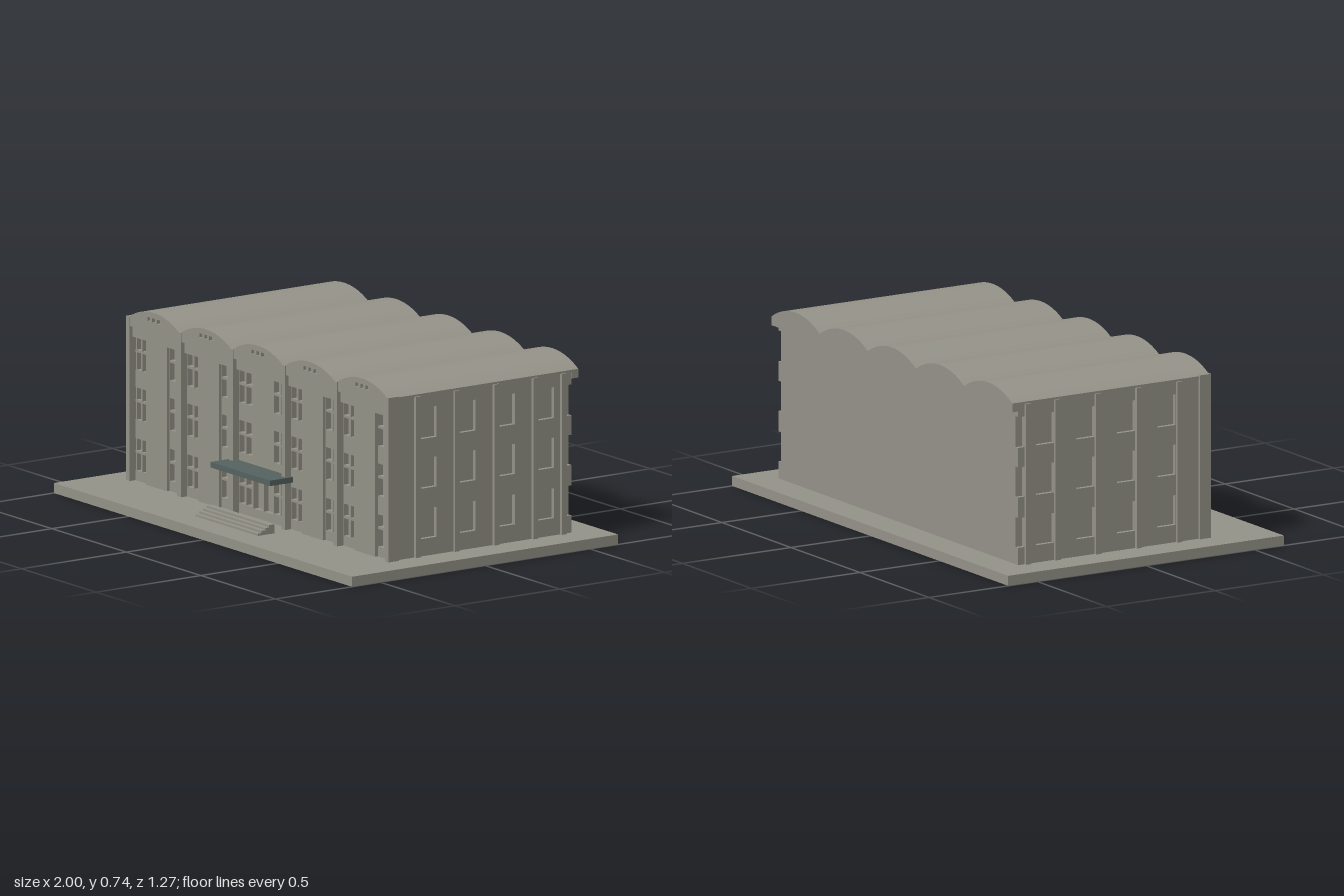
import * as THREE from 'three';
import { toCreasedNormals } from 'three/addons/utils/BufferGeometryUtils.js';

const BAY = 0.349, BAYS = 5, GROUND = 0.04, VALLEY = 0.69, RISE = 0.05;

export function createModel() {
  const model = new THREE.Group();
  const concrete = new THREE.MeshStandardMaterial({ color: 0x96948a });
  concrete.name = 'warm grey concrete';
  const teal = new THREE.MeshStandardMaterial({ color: 0x566462 });
  teal.name = 'dark teal canopy';

  const add = (name, geometry, material = concrete) => {
    const mesh = new THREE.Mesh(geometry, material);
    mesh.name = name;
    model.add(mesh);
    return mesh;
  };
  // Box given by its limits on each axis
  const box = (name, x0, x1, y0, y1, z0, z1, material) => {
    const mesh = add(name, new THREE.BoxGeometry(x1 - x0, y1 - y0, z1 - z0), material);
    mesh.position.set((x0 + x1) / 2, (y0 + y1) / 2, (z0 + z1) / 2);
    return mesh;
  };
  const rect = (x0, x1, y0, y1) => [[x0, y0], [x1, y0], [x1, y1], [x0, y1]].map(p => new THREE.Vector2(...p));
  const plate = (points, holes, depth) => {
    const shape = new THREE.Shape(points);
    for (const h of holes) shape.holes.push(new THREE.Path(rect(...h)));
    return toCreasedNormals(new THREE.ExtrudeGeometry(shape, { depth, bevelEnabled: false }), 0.4);
  };
  // Row of shallow arcs from x0, one per bay, running left to right
  const vaultCurve = (x0, count) => {
    const points = [], half = BAY / 2, r = (half * half + RISE * RISE) / (2 * RISE);
    for (let b = 0; b < count; b++) {
      for (let i = b ? 1 : 0; i <= 20; i++) {
        const dx = -half + (BAY * i) / 20;
        points.push(new THREE.Vector2(x0 + b * BAY + half + dx, VALLEY + RISE - r + Math.sqrt(r * r - dx * dx)));
      }
    }
    return points;
  };
  const closedVault = (x0, count, base) => [
    new THREE.Vector2(x0, base), ...vaultCurve(x0, count), new THREE.Vector2(x0 + count * BAY, base)];

  // Ground slab and building core
  box('groundSlab', -1, 1, 0, GROUND, -0.635, 0.635);
  box('buildingCore', -0.85, 0.85, GROUND, 0.68, -0.505, 0.325);

  // Vaulted roof, with a deeper eave along the back
  const xLeft = -BAY * BAYS / 2;
  add('vaultedRoof', plate(closedVault(xLeft, BAYS, 0.68), [], 0.895)).position.z = -0.535;
  box('backEave', xLeft, -xLeft, 0.655, 0.68, -0.535, -0.505);

  // Front facade, bay by bay
  const floors = [0.08, 0.283, 0.482];
  for (let b = 0; b < BAYS; b++) {
    const c = (b - 2) * BAY, centre = b === 2;

    // Gable with three small vents
    const vents = [-1, 0, 1].map(i => [c + i * 0.033 - 0.01, c + i * 0.033 + 0.01, 0.7, 0.717]);
    add('gable', plate(closedVault(c - BAY / 2, 1, 0.658), vents, 0.013)).position.z = 0.36;
    box('headerBand', c - 0.163, c + 0.163, 0.614, 0.658, 0.325, 0.36);

    // Wall with four-pane windows either side, and a doorway in the middle bay
    const panes = [];
    for (const side of [-1, 1]) {
      for (const y of floors) {
        for (const [u0, u1] of [[0.073, 0.111], [0.12, 0.158]]) {
          const x0 = c + Math.min(side * u0, side * u1), x1 = c + Math.max(side * u0, side * u1);
          panes.push([x0, x1, y, y + 0.07], [x0, x1, y + 0.08, y + 0.128]);
        }
      }
    }
    if (centre) {
      panes.push([-0.064, -0.004, 0.075, 0.23], [0.004, 0.064, 0.075, 0.23]);
    }
    add('windowWall', plate(rect(c - 0.163, c + 0.163, GROUND, 0.614), panes, 0.022)).position.z = 0.325;
    if (!centre) box('bayPanel', c - 0.07, c + 0.07, GROUND, 0.614, 0.34, 0.36);
  }

  // Front pilasters at every bay line, the end ones wrapping the corners
  for (let i = 0; i <= BAYS; i++) {
    const x = xLeft + i * BAY;
    const x0 = i === 0 ? -0.88 : x - 0.013, x1 = i === BAYS ? 0.88 : x + 0.013;
    box('frontPilaster', i === BAYS ? 0.857 : x0, i === 0 ? -0.857 : x1, GROUND, 0.695, 0.325, 0.376);
  }

  // Side walls: three rows of window recesses, the last column open at the back corner
  const rows = [[0.109, 0.228], [0.31, 0.43], [0.508, 0.631]];
  const windows = [];
  for (const z of [0.22, 0.034, -0.153, -0.34]) {
    for (const [y0, y1] of rows) windows.push([-z, -z + 0.083, y0, y1]);
  }
  const outline = [[-0.345, 0.68], [-0.345, GROUND], [0.505, GROUND]];
  for (const [y0, y1] of rows) outline.push([0.505, y0], [0.476, y0], [0.476, y1], [0.505, y1]);
  outline.push([0.505, 0.68]);
  const sideWall = plate(outline.map(p => new THREE.Vector2(...p)), windows, 0.018);
  sideWall.rotateY(Math.PI / 2);
  for (const side of [-1, 1]) {
    add('sideWall', sideWall).position.x = side > 0 ? 0.85 : -0.868;
    for (const z of [0.233, 0.046, -0.141, -0.328, -0.464]) {
      const a = side * 0.85, b = side * 0.88;
      box('sidePilaster', Math.min(a, b), Math.max(a, b), GROUND, 0.682, z - 0.012, z + 0.012);
    }
  }

  // Entrance canopy and steps
  box('entranceCanopy', -0.2, 0.2, 0.228, 0.25, 0.345, 0.457, teal);
  for (let i = 0; i < 4; i++) {
    box('entranceStep', -0.21, 0.21, GROUND + i * 0.009, GROUND + (i + 1) * 0.009, 0.442, 0.522 - i * 0.018);
  }
  return model;
}
